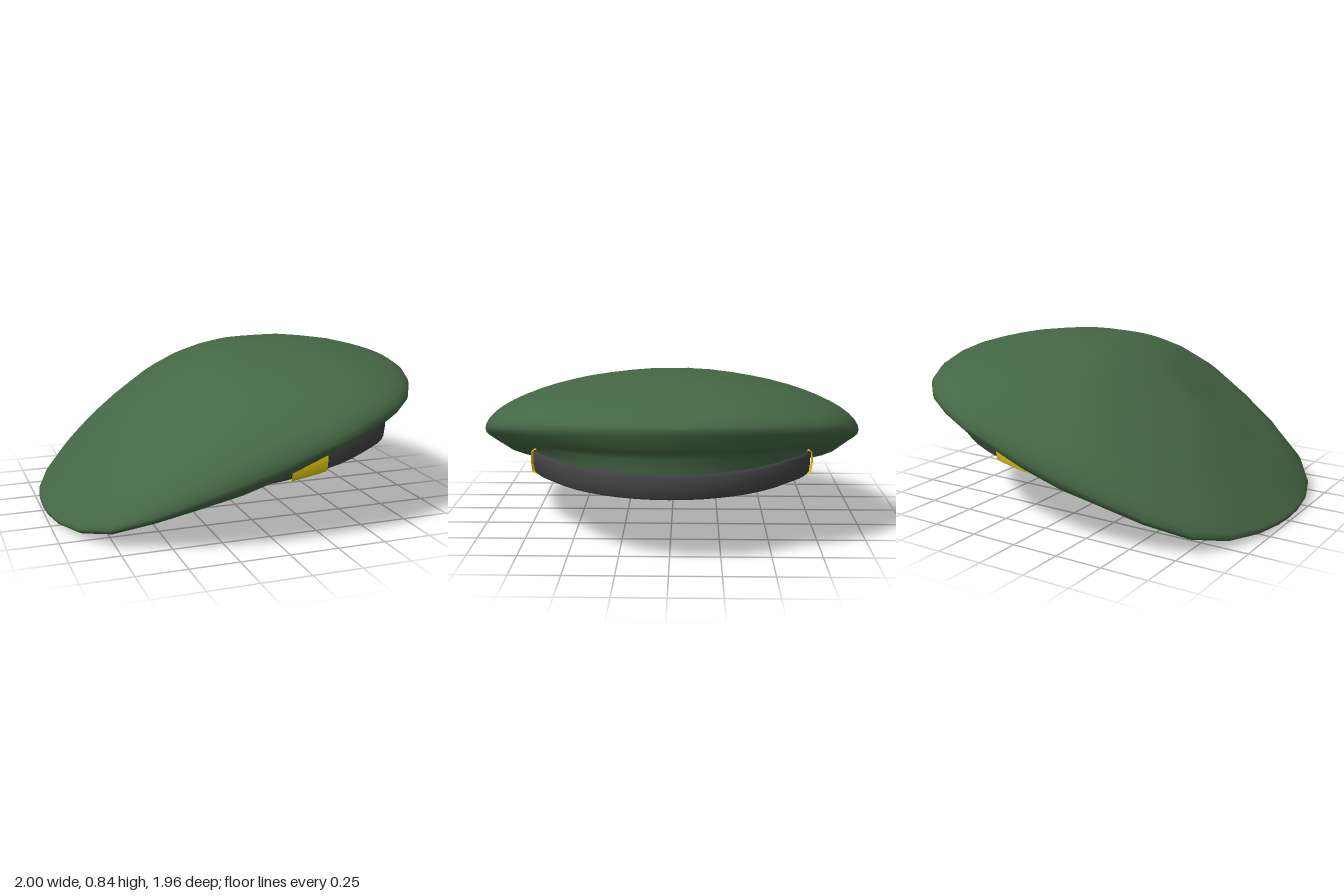
import * as THREE from 'three';

const paint = (name, color, side = THREE.FrontSide) => {
  const m = new THREE.MeshStandardMaterial({ color, side });
  m.name = name;
  return m;
};

// piecewise linear lookup in a list of [x, value]
function lookup(list, x) {
  if (x <= list[0][0]) return list[0][1];
  for (let i = 1; i < list.length; i++) {
    const [x0, v0] = list[i - 1], [x1, v1] = list[i];
    if (x <= x1) return v0 + (v1 - v0) * (x - x0) / (x1 - x0);
  }
  return list[list.length - 1][1];
}

// half outline of the rim seen from above, from -x to +x: [x, z]
const outline = [[-1, 0], [-0.995, 0.12], [-0.97, 0.29], [-0.905, 0.485], [-0.79, 0.665], [-0.6, 0.79],
  [-0.42, 0.865], [-0.21, 0.93], [0, 0.96], [0.2, 0.978], [0.32, 0.97], [0.48, 0.92], [0.64, 0.83],
  [0.765, 0.705], [0.875, 0.52], [0.95, 0.325], [0.99, 0.14], [1, 0]];
// heights along x: rim edge, crown ridge, and lower edge / height of the band
const rimY = [[-1, 0.03], [-0.9, 0.055], [-0.8, 0.095], [-0.6, 0.18], [-0.3, 0.315], [0, 0.425],
  [0.2, 0.505], [0.5, 0.59], [0.8, 0.655], [1, 0.695]];
const ridgeY = [[-1, 0.03], [-0.8, 0.25], [-0.57, 0.49], [-0.4, 0.61], [-0.25, 0.71], [-0.1, 0.78],
  [0.02, 0.815], [0.2, 0.838], [0.5, 0.838], [0.75, 0.805], [0.9, 0.765], [0.97, 0.73], [1, 0.695]];
const bandY = [[-0.72, 0.05], [-0.6, 0.07], [-0.4, 0.145], [-0.2, 0.21], [0, 0.26], [0.2, 0.287],
  [0.4, 0.312], [0.6, 0.34], [0.92, 0.34]];
const bandH = [[-0.72, 0.065], [-0.2, 0.08], [0, 0.095], [0.2, 0.11], [0.4, 0.12], [0.92, 0.12]];
const centre = 0.09;

// point on the head opening, pushed outwards by d; the +x end is squarer
function opening(a, d = 0) {
  const c = Math.cos(a);
  return [centre + (0.81 + d) * (c > 0 ? Math.pow(c, 0.88) : c), (0.715 + d) * Math.sin(a)];
}

// surface through rows of points of equal length
function loft(rows, closed) {
  const n = rows[0].length, index = [];
  for (let i = 0; i < rows.length - 1; i++) {
    for (let j = 0; j < (closed ? n : n - 1); j++) {
      const a = i * n + j, b = i * n + (j + 1) % n;
      index.push(a, b, a + n, b, b + n, a + n);
    }
  }
  const g = new THREE.BufferGeometry();
  g.setAttribute('position', new THREE.Float32BufferAttribute(rows.flat(2), 3));
  g.setIndex(index);
  g.computeVertexNormals();
  return g;
}

// domed top, leaning to one side with a soft dent
function crownHeight(x, z) {
  const t = Math.min(1, Math.abs(z) / Math.max(0.01, lookup(outline, x)));
  const base = lookup(rimY, x), g = Math.pow(1 - t * t, 0.54);
  const dent = 0.09 * Math.exp(-((x + 0.45) ** 2) / 0.08 - ((z - 0.45) ** 2) / 0.1);
  return base + (lookup(ridgeY, x) - base - dent) * g;
}

function beretCloth() {
  // rim loop from +x round through +z
  const half = [...outline].reverse();
  const rim = [...half, ...outline.slice(1, -1).map(([x, z]) => [x, -z])];
  const rows = [];
  for (let k = 0; k <= 14; k++) {
    const s = Math.sin((k / 14) * Math.PI / 2);
    rows.push(rim.map(([rx, rz]) => {
      const x = 0.1 + (rx - 0.1) * s, z = rz * s;
      return [x, k === 14 ? lookup(rimY, rx) : crownHeight(x, z), z];
    }));
  }
  // underside folding in to the band: [inward share, height share, sag]
  const under = [[0.02, 0.02, 0.015], [0.09, 0.04, 0.028], [0.3, 0.2, 0.043], [0.5, 0.28, 0.045],
    [0.7, 0.4, 0.03], [0.9, 0.65, 0], [1, 1, 0]];
  for (const [f, h, sag] of under) {
    rows.push(rim.map(([x, z]) => {
      const [nx, nz] = opening(Math.atan2(z, x - 0.04));
      const y = lookup(rimY, x), ny = lookup(bandY, nx) + lookup(bandH, nx) - 0.015;
      const droop = sag * (1 + 0.6 * Math.exp(-((x + 0.15) ** 2) / 0.12));
      return [x + (nx - x) * f, y + (ny - y) * h - droop, z + (nz - z) * f];
    }));
  }
  return loft(rows, true);
}

// strip with a rounded section following the head opening; grow fattens it
function bandStrip(a0, a1, segments, grow, closed) {
  const section = [[0.012, 1], [0.027, 0.9], [0.03, 0.5], [0.024, 0.1], [0.008, 0], [-0.022, 0],
    [-0.035, 0.1], [-0.038, 0.5], [-0.035, 0.9], [-0.02, 1], [0.012, 1]];
  const rows = section.map(([d, v]) => {
    const row = [];
    for (let j = 0; j < (closed ? segments : segments + 1); j++) {
      const a = a0 + (a1 - a0) * j / segments;
      // the inner wall is thicker towards -x
      const wide = d < 0 ? 1 + 0.6 * Math.max(0, -Math.cos(a)) : 1;
      const [x, z] = opening(a, d * wide + Math.sign(d) * grow);
      row.push([x, lookup(bandY, x) + v * lookup(bandH, x) + (v - 0.5) * grow, z]);
    }
    return row;
  });
  return loft(rows, closed);
}

export function createModel() {
  const green = paint('green felt', 0x456744, THREE.DoubleSide);
  const black = paint('dark band', 0x414143, THREE.DoubleSide);
  const gold = paint('yellow clasp', 0xe6c80f, THREE.DoubleSide);

  const model = new THREE.Group();
  model.name = 'beret';
  const add = (name, geometry, material) => {
    const mesh = new THREE.Mesh(geometry, material);
    mesh.name = name;
    model.add(mesh);
  };

  add('crown', beretCloth(), green);
  add('headBand', bandStrip(0, Math.PI * 2, 56, 0, true), black);
  // clasps wrapped round the band at front and back
  add('frontClasp', bandStrip(1.353, 1.556, 4, 0.013, false), gold);
  add('backClasp', bandStrip(-1.556, -1.353, 4, 0.013, false), gold);
  return model;
}
